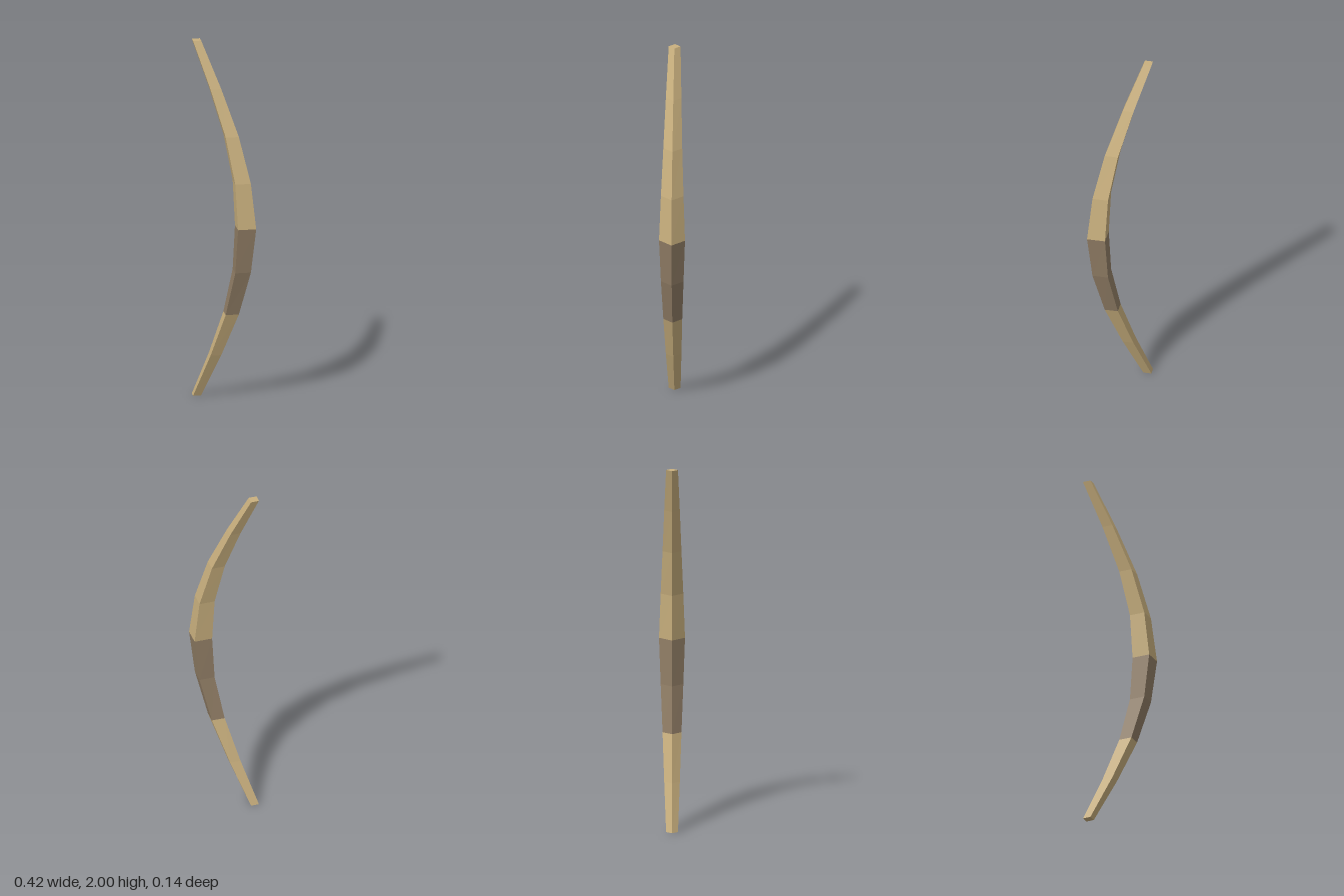
import * as THREE from 'three';

// Stations up the bow: [height, centre x, half-width x, half-depth z]
const lower = [
  [0, -0.182, 0.031, 0.032],
  [0.25, -0.06, 0.041, 0.042],
  [0.5, 0.046, 0.051, 0.051],
  [0.75, 0.116, 0.06, 0.061],
  [1, 0.141, 0.07, 0.07],
];
const upper = lower.map(([y, ...rest]) => [2 - y, ...rest]).reverse();

// Loft a diamond cross-section through the stations
function diamondLoft(stations, capBottom, capTop) {
  const positions = [];
  const index = [];
  for (const [y, x, w, d] of stations) {
    positions.push(x + w, y, 0, x, y, d, x - w, y, 0, x, y, -d);
  }
  for (let s = 0; s < stations.length - 1; s++) {
    for (let i = 0; i < 4; i++) {
      const a = s * 4 + i;
      const b = s * 4 + ((i + 1) % 4);
      index.push(a, a + 4, b, b, a + 4, b + 4);
    }
  }
  if (capBottom) index.push(0, 1, 2, 0, 2, 3);
  if (capTop) {
    const t = (stations.length - 1) * 4;
    index.push(t, t + 2, t + 1, t, t + 3, t + 2);
  }
  const indexed = new THREE.BufferGeometry();
  indexed.setAttribute('position', new THREE.Float32BufferAttribute(positions, 3));
  indexed.setIndex(index);
  const geometry = indexed.toNonIndexed();
  geometry.computeVertexNormals();
  return geometry;
}

export function createModel() {
  const group = new THREE.Group();
  group.name = 'bow';
  const wood = new THREE.MeshStandardMaterial({ color: 0xc9b07e, flatShading: true });
  const wrap = new THREE.MeshStandardMaterial({ color: 0x907d65, flatShading: true });

  const add = (name, geometry, material) => {
    const mesh = new THREE.Mesh(geometry, material);
    mesh.name = name;
    group.add(mesh);
  };

  // Wooden limbs with the darker grip between them
  add('lowerLimb', diamondLoft(lower.slice(0, 3), true, false), wood);
  add('grip', diamondLoft(lower.slice(2), false, false), wrap);
  add('upperLimb', diamondLoft(upper, false, true), wood);
  return group;
}
